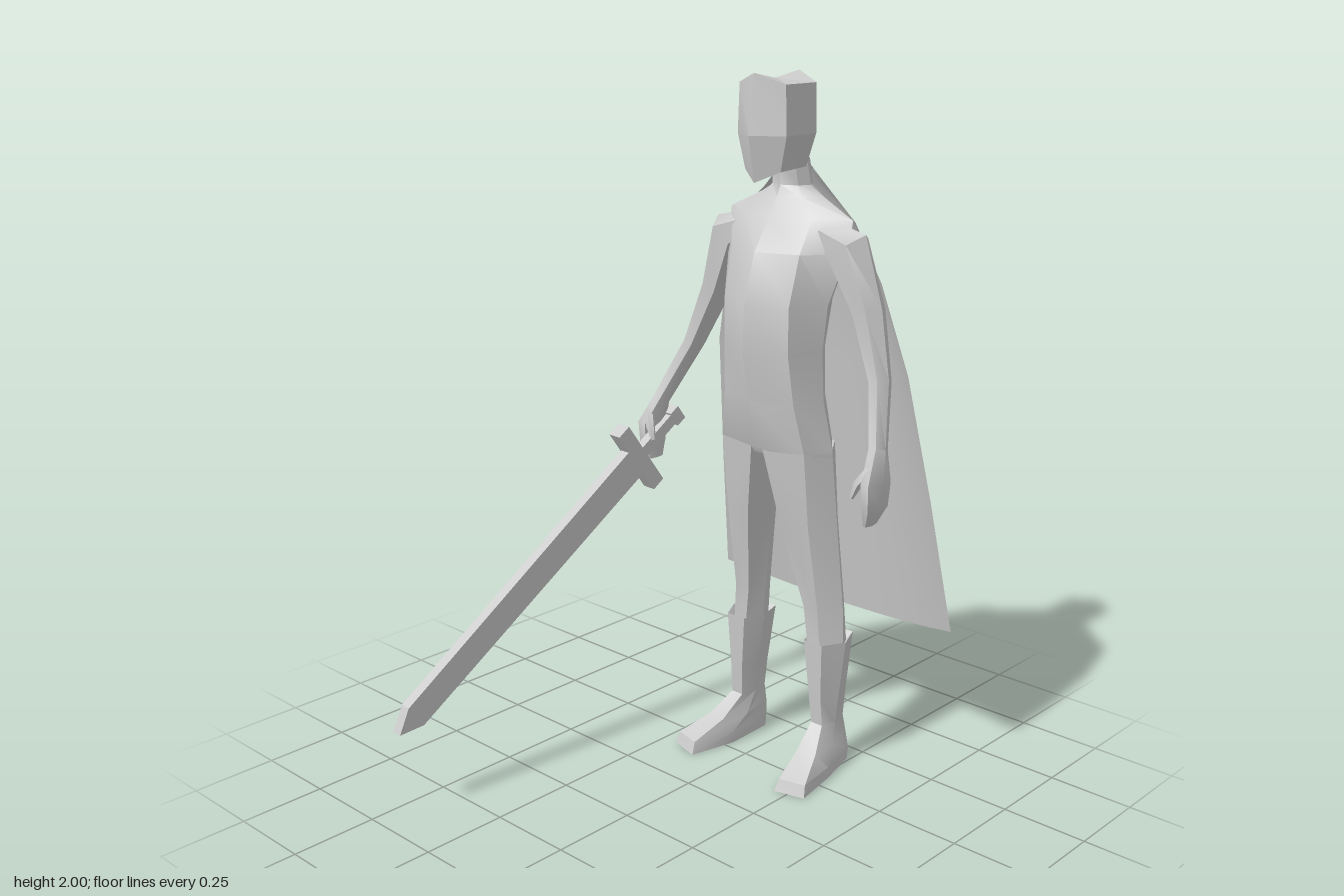
import * as THREE from 'three';
import { toCreasedNormals } from 'three/addons/utils/BufferGeometryUtils.js';

const material = new THREE.MeshStandardMaterial({ color: 0xcccccc });
const clothMaterial = new THREE.MeshStandardMaterial({ color: 0xcccccc, side: THREE.DoubleSide });

// Closed skin over cross-sections (equal-length loops of [x, y, z]), capped at both ends
function loft(rings, crease) {
  const n = rings[0].length, pos = rings.flat(2), index = [];
  for (let r = 0; r < rings.length - 1; r++) {
    for (let i = 0; i < n; i++) {
      const a = r * n + i, b = r * n + (i + 1) % n;
      index.push(a, b, b + n, a, b + n, a + n);
    }
  }
  [0, rings.length - 1].forEach((r, end) => {
    const c = pos.length / 3;
    for (let k = 0; k < 3; k++) pos.push(rings[r].reduce((s, p) => s + p[k], 0) / n);
    for (let i = 0; i < n; i++) {
      const a = r * n + i, b = r * n + (i + 1) % n;
      end ? index.push(a, b, c) : index.push(b, a, c);
    }
  });
  // Turn the faces outward whichever way the loops run
  const at = (i) => new THREE.Vector3().fromArray(pos, i * 3);
  let volume = 0;
  for (let i = 0; i < index.length; i += 3) {
    volume += at(index[i]).dot(at(index[i + 1]).cross(at(index[i + 2])));
  }
  if (volume < 0) index.reverse();
  const g = new THREE.BufferGeometry();
  g.setAttribute('position', new THREE.Float32BufferAttribute(pos, 3));
  g.setIndex(index);
  return toCreasedNormals(g, crease);
}

function add(parent, name, geometry, mat = material) {
  const mesh = new THREE.Mesh(geometry, mat);
  mesh.name = name;
  parent.add(mesh);
  return mesh;
}

const mirrorRings = (rings, s) => rings.map((ring) => ring.map(([x, y, z]) => [x * s, y, z]));

// Completes a symmetric loop from its +x half, given front centre to back centre
const symmetric = (half) => [...half, ...half.slice(1, -1).reverse().map(([x, y, z]) => [-x, y, z])];

// Hexagonal tube along points of [x, y, z, side radius, depth radius]
function limb(path, s, crease = 0.9) {
  const pts = path.map((p) => new THREE.Vector3(p[0] * s, p[1], p[2]));
  const rings = path.map((p, i) => {
    const t = pts[Math.min(i + 1, pts.length - 1)].clone().sub(pts[Math.max(i - 1, 0)]).normalize();
    const u = new THREE.Vector3(0, 0, 1).addScaledVector(t, -t.z).normalize();
    const v = t.clone().cross(u);
    return [0, 1, 2, 3, 4, 5].map((k) => {
      const a = k * Math.PI / 3;
      return pts[i].clone().addScaledVector(v, p[3] * Math.cos(a))
        .addScaledVector(u, p[4] * Math.sin(a)).toArray();
    });
  });
  return loft(rings, crease);
}

function buildCape() {
  // Rows from collar to hem: [half width, centre y, edge y, centre z, edge z]
  const rows = [
    [0.06, 1.75, 1.74, -0.41, -0.375], [0.12, 1.70, 1.68, -0.435, -0.385],
    [0.2, 1.635, 1.61, -0.47, -0.385], [0.275, 1.465, 1.45, -0.525, -0.41],
    [0.345, 1.18, 1.2, -0.565, -0.45], [0.39, 0.8, 0.83, -0.615, -0.52],
    [0.43, 0.37, 0.43, -0.675, -0.592],
  ];
  const n = 8, pos = [], index = [];
  rows.forEach(([w, yc, ye, zc, ze], r) => {
    for (let i = 0; i <= n; i++) {
      const t = i / n * 2 - 1, k = Math.pow(Math.abs(t), 2);
      pos.push(w * t, yc + (ye - yc) * k, zc + (ze - zc) * k);
      if (r && i) {
        const d = r * (n + 1) + i, c = d - 1, b = d - n - 1, a = b - 1;
        index.push(a, b, d, a, d, c);
      }
    }
  });
  const g = new THREE.BufferGeometry();
  g.setAttribute('position', new THREE.Float32BufferAttribute(pos, 3));
  g.setIndex(index);
  g.computeVertexNormals();
  return g;
}

function buildSword() {
  const sword = new THREE.Group();
  sword.name = 'sword';
  // Blade outline: length along x, width along y
  const outline = new THREE.Shape([[0, -0.047], [1.0, -0.04], [1.067, 0], [1.0, 0.04], [0, 0.047]]
    .map(([x, y]) => new THREE.Vector2(x, y)));
  const blade = new THREE.ExtrudeGeometry(outline, { depth: 0.034, bevelEnabled: false });
  blade.translate(0, 0, -0.017).rotateY(-Math.PI / 2);
  add(sword, 'blade', blade);
  add(sword, 'crossguard', new THREE.BoxGeometry(0.046, 0.23, 0.045));
  add(sword, 'grip', new THREE.BoxGeometry(0.03, 0.035, 0.17)).position.z = -0.09;
  add(sword, 'pommel', new THREE.BoxGeometry(0.042, 0.05, 0.035)).position.z = -0.18;
  sword.position.set(-0.39, 0.865, -0.19);
  sword.lookAt(-0.46, 0.25, 0.68);
  return sword;
}

export function createModel() {
  const model = new THREE.Group();
  const figure = new THREE.Group();
  figure.name = 'figure';
  figure.position.x = 0.05;
  model.add(figure);

  // Head: faceted hexagonal block with a ridge down the face
  add(figure, 'head', loft([
    [[0, 2.0, -0.195], [0.08, 1.972, -0.23], [0.08, 1.972, -0.355], [0, 2.0, -0.38]],
    [[0, 1.84, -0.175], [0.085, 1.84, -0.23], [0.083, 1.84, -0.355], [0, 1.84, -0.385]],
    [[0, 1.715, -0.2], [0.062, 1.745, -0.235], [0.055, 1.75, -0.35], [0, 1.75, -0.405]],
  ].map(symmetric), 0.2));

  // Torso rows: [y, front z, front edge x, z, side x, z, back edge x, z, back z]
  const torso = [
    [1.77, -0.30, 0.04, -0.32, 0.05, -0.36, 0.035, -0.39, -0.40],
    [1.70, -0.31, 0.045, -0.33, 0.06, -0.365, 0.04, -0.40, -0.41],
    [1.67, -0.295, 0.07, -0.32, 0.11, -0.365, 0.07, -0.405, -0.42],
    [1.62, -0.265, 0.12, -0.30, 0.215, -0.355, 0.13, -0.40, -0.42],
    [1.53, -0.205, 0.12, -0.25, 0.21, -0.34, 0.13, -0.415, -0.42],
    [1.39, -0.165, 0.115, -0.215, 0.165, -0.32, 0.11, -0.41, -0.415],
    [1.26, -0.16, 0.115, -0.215, 0.15, -0.32, 0.1, -0.395, -0.395],
    [1.12, -0.19, 0.125, -0.23, 0.15, -0.33, 0.1, -0.40, -0.40],
    [0.98, -0.22, 0.15, -0.25, 0.178, -0.34, 0.11, -0.425, -0.41],
    [0.96, -0.235, 0.15, -0.255, 0.18, -0.34, 0.11, -0.425, -0.40],
  ];
  add(figure, 'torso', loft(torso.map(([y, zf, fx, fz, sx, sz, bx, bz, zb]) => symmetric(
    [[0, y, zf], [fx, y, fz], [sx, y, sz], [bx, y, bz], [0, y, zb]])), 0.62));

  // Leg and boot rows: [y, then x, z of front inner, front outer, outer, back outer, back inner, inner]
  const section = ([y, ...c]) => [0, 2, 4, 6, 8, 10].map((k) => [c[k], y, c[k + 1]]);
  const leg = [
    [0.98, 0.02, -0.225, 0.15, -0.25, 0.178, -0.34, 0.12, -0.425, 0.03, -0.41, 0, -0.33],
    [0.76, 0.06, -0.26, 0.15, -0.275, 0.195, -0.35, 0.15, -0.41, 0.07, -0.40, 0.035, -0.34],
    [0.5, 0.105, -0.32, 0.155, -0.32, 0.205, -0.375, 0.17, -0.425, 0.11, -0.425, 0.085, -0.375],
    [0.37, 0.12, -0.325, 0.165, -0.325, 0.205, -0.38, 0.175, -0.435, 0.125, -0.435, 0.1, -0.38],
  ].map(section);
  const boot = [
    [0.37, 0.13, -0.34, 0.165, -0.34, 0.19, -0.38, 0.17, -0.42, 0.13, -0.42, 0.11, -0.38],
    [0.40, 0.115, -0.312, 0.18, -0.312, 0.215, -0.38, 0.18, -0.458, 0.115, -0.458, 0.092, -0.38],
    [0.23, 0.13, -0.322, 0.173, -0.322, 0.195, -0.38, 0.173, -0.442, 0.13, -0.442, 0.115, -0.38],
    [0.14, 0.135, -0.33, 0.175, -0.33, 0.185, -0.38, 0.17, -0.435, 0.135, -0.435, 0.125, -0.38],
    [0.08, 0.145, -0.255, 0.205, -0.265, 0.205, -0.35, 0.18, -0.44, 0.13, -0.44, 0.12, -0.34],
    [0.035, 0.165, -0.15, 0.245, -0.17, 0.225, -0.3, 0.19, -0.44, 0.13, -0.44, 0.125, -0.28],
    [0.0, 0.16, -0.135, 0.25, -0.16, 0.225, -0.3, 0.19, -0.435, 0.13, -0.435, 0.125, -0.28],
  ].map(section);

  // Arms: the right one swings further out to hold the sword
  const arms = {
    left: [
      [0.13, 1.57, -0.345, 0.05, 0.05], [0.205, 1.545, -0.35, 0.072, 0.06], [0.272, 1.38, -0.362, 0.045, 0.05],
      [0.325, 1.2, -0.35, 0.03, 0.036], [0.363, 1.03, -0.30, 0.025, 0.03], [0.37, 0.94, -0.285, 0.026, 0.058],
      [0.37, 0.87, -0.285, 0.02, 0.052], [0.355, 0.82, -0.285, 0.009, 0.03],
    ],
    right: [
      [0.13, 1.57, -0.345, 0.05, 0.05], [0.205, 1.545, -0.35, 0.072, 0.06], [0.272, 1.38, -0.362, 0.047, 0.05],
      [0.36, 1.2, -0.355, 0.03, 0.036], [0.445, 1.02, -0.30, 0.025, 0.03], [0.465, 0.95, -0.285, 0.028, 0.056],
      [0.465, 0.89, -0.285, 0.022, 0.05], [0.455, 0.84, -0.285, 0.01, 0.03],
    ],
  };

  for (const [side, s] of [['left', 1], ['right', -1]]) {
    add(figure, side + 'Leg', loft(mirrorRings(leg, s), 0.62));
    add(figure, side + 'Boot', loft(mirrorRings(boot, s), 0.5));
    add(figure, side + 'Arm', limb(arms[side], s));
    const [x, y, z] = arms[side][5];
    add(figure, side + 'Thumb', limb([
      [x - 0.005, y + 0.04, z + 0.02, 0.015, 0.015], [x - 0.03, y, z + 0.04, 0.014, 0.014],
      [x - 0.045, y - 0.04, z + 0.045, 0.006, 0.007],
    ], s));
  }

  add(figure, 'cape', buildCape(), clothMaterial);
  model.add(buildSword());
  return model;
}
